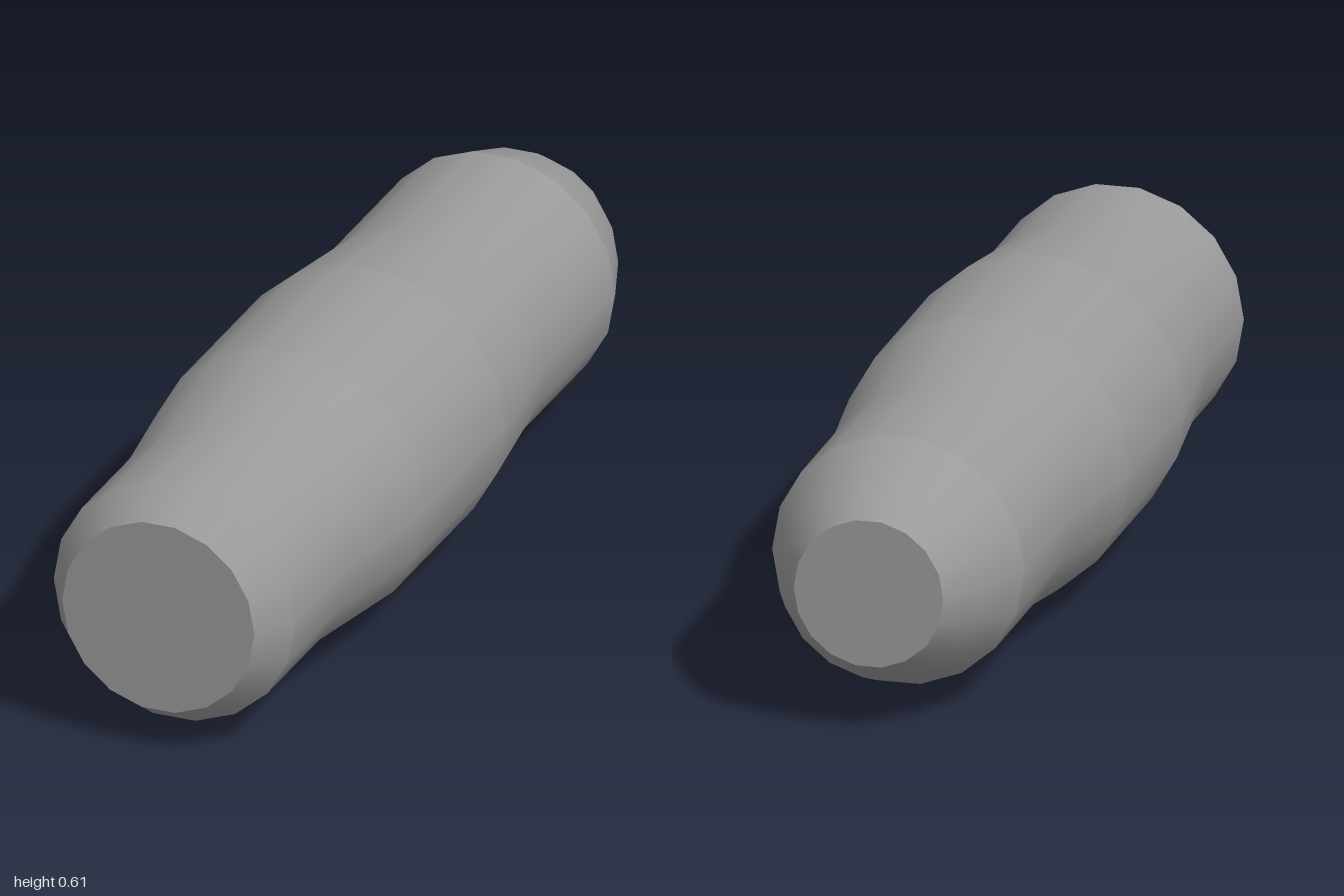
import * as THREE from 'three';

const SIDES = 18;
const AXIS_HEIGHT = 0.306;

export function createModel() {
  const group = new THREE.Group();
  group.name = 'taperedBarrel';
  const material = new THREE.MeshStandardMaterial({ color: 0x9a9a9a });

  const add = (name, geometry) => {
    const mesh = new THREE.Mesh(geometry, material);
    mesh.name = name;
    mesh.position.y = AXIS_HEIGHT;
    group.add(mesh);
    return mesh;
  };

  // Turned section along z; profile is [radius, z] from back to front, smooth within a section
  const section = (name, profile) => {
    const points = profile.map(([r, z]) => new THREE.Vector2(r, z));
    add(name, new THREE.LatheGeometry(points, SIDES, Math.PI / 2).rotateX(Math.PI / 2));
  };

  section('noseTaper', [[0.16, -1], [0.217, -0.91], [0.27, -0.77]]);
  section('rearSleeve', [[0.27, -0.77], [0.27, -0.41], [0.31, -0.1]]);
  section('gripBand', [[0.31, -0.1], [0.31, 0.325]]);
  section('frontSleeve', [[0.31, 0.325], [0.27, 0.64], [0.27, 0.915]]);
  section('frontBevel', [[0.27, 0.915], [0.215, 1]]);

  // Flat end caps
  add('frontCap', new THREE.CircleGeometry(0.215, SIDES)).position.z = 1;
  add('rearCap', new THREE.CircleGeometry(0.16, SIDES).rotateY(Math.PI)).position.z = -1;

  return group;
}
